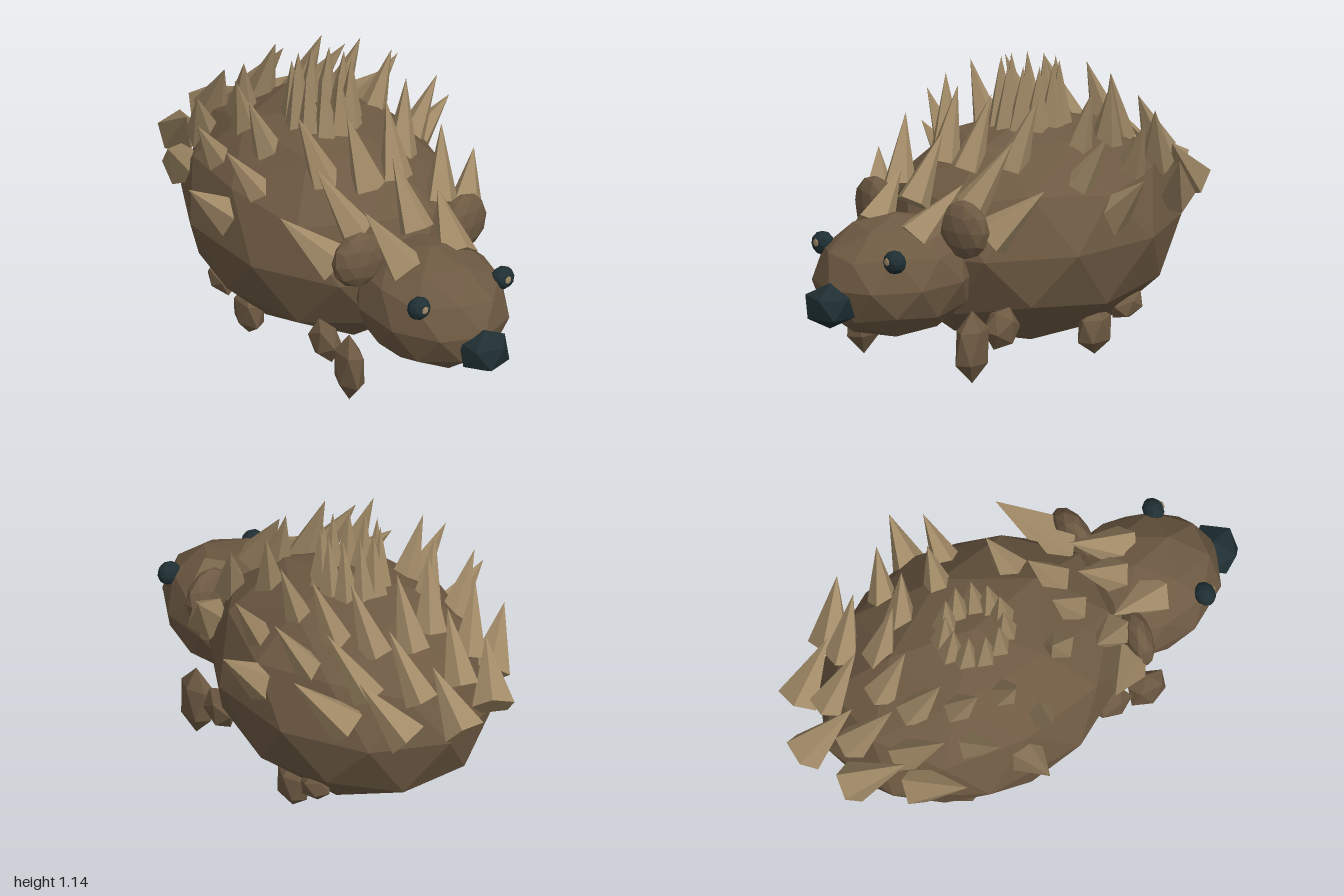
import * as THREE from 'three';

const mat = (name, color) => {
  const m = new THREE.MeshStandardMaterial({ color, flatShading: true });
  m.name = name;
  return m;
};

// Faceted ball with its pole on the y axis, stretched to radii r
function ball(name, material, detail, p, r) {
  const g = new THREE.IcosahedronGeometry(1, detail);
  g.rotateX(-Math.atan2(1 + Math.sqrt(5), 2));
  g.rotateY(Math.PI / 2);
  g.scale(...r);
  const mesh = new THREE.Mesh(g, material);
  mesh.name = name;
  mesh.position.set(...p);
  return mesh;
}

export function createModel() {
  const model = new THREE.Group();
  model.name = 'hedgehog';
  const fur = mat('brown fur', 0x6e5a43);
  const quill = mat('tan quill', 0xa18a67);
  const dark = mat('dark slate', 0x1f2f33);

  // Body, head and nose
  model.add(
    ball('body', fur, 1, [0, 0.474, -0.183], [0.51, 0.455, 0.662]),
    ball('head', fur, 1, [0, 0.41, 0.55], [0.284, 0.246, 0.36]),
    ball('nose', dark, 0, [0, 0.348, 0.903], [0.112, 0.092, 0.108])
  );

  // Paired ears, eyes and legs
  for (const [side, s] of [['left', 1], ['right', -1]]) {
    const ear = ball(side + 'Ear', fur, 1, [s * 0.25, 0.613, 0.415], [0.118, 0.12, 0.058]);
    ear.rotation.y = s * 0.15;
    const foreLeg = ball(side + 'FrontLeg', fur, 0, [s * 0.305, 0.195, 0.265], [0.055, 0.09, 0.09]);
    foreLeg.rotation.x = -0.5;
    const hindLeg = ball(side + 'BackLeg', fur, 0, [s * 0.325, 0.17, -0.395], [0.052, 0.055, 0.085]);
    hindLeg.rotation.x = 0.3;
    model.add(
      ear,
      ball(side + 'Eye', dark, 1, [s * 0.202, 0.534, 0.747], [0.05, 0.048, 0.042]),
      ball(side + 'EyeGlint', quill, 0, [s * 0.2, 0.542, 0.788], [0.016, 0.018, 0.004]),
      foreLeg,
      ball(side + 'FrontFoot', fur, 0, [s * 0.305, 0.15, 0.425], [0.054, 0.147, 0.09]),
      hindLeg,
      ball(side + 'BackFoot', fur, 0, [s * 0.315, 0.1, -0.23], [0.054, 0.1, 0.09])
    );
  }

  // Quills in four rings; they lean out sideways and inwards lengthways.
  // Each ring has one quill on the midline and five mirrored pairs (degrees, front = 90).
  const quills = new THREE.Group();
  quills.name = 'quills';
  const rings = [
    { mid: 90, pairs: [57, 25, -8, -41, -74], base: [0.1, 0.84, 0.13], tip: [0.12, 1.143, 0.115], r: 0.062 },
    { mid: -90, pairs: [74, 41, -2, -30, -57], base: [0.24, 0.785, 0.42], tip: [0.345, 1.075, 0.31], r: 0.07 },
    { mid: 90, pairs: [54, 8, -20, -46, -74], base: [0.345, 0.68, 0.635], tip: [0.515, 0.94, 0.47], r: 0.072 },
    { mid: -90, pairs: [74, 42, -2, -36, -61], base: [0.42, 0.575, 0.77], tip: [0.63, 0.768, 0.55], r: 0.088 }
  ];
  const up = new THREE.Vector3(0, 1, 0);
  for (const { mid, pairs, base, tip, r } of rings) {
    for (const degrees of [mid, ...pairs, ...pairs.map((d) => 180 - d)]) {
      const a = THREE.MathUtils.degToRad(degrees);
      const at = (e) => new THREE.Vector3(e[0] * Math.cos(a), e[1], -0.18 + e[2] * Math.sin(a));
      const from = at(base), to = at(tip);
      const dir = to.clone().sub(from);
      const cone = new THREE.Mesh(new THREE.ConeGeometry(r, dir.length(), 5), quill);
      cone.name = 'quill';
      cone.position.copy(from).lerp(to, 0.5);
      cone.quaternion.setFromUnitVectors(up, dir.normalize());
      quills.add(cone);
    }
  }
  model.add(quills);
  return model;
}
